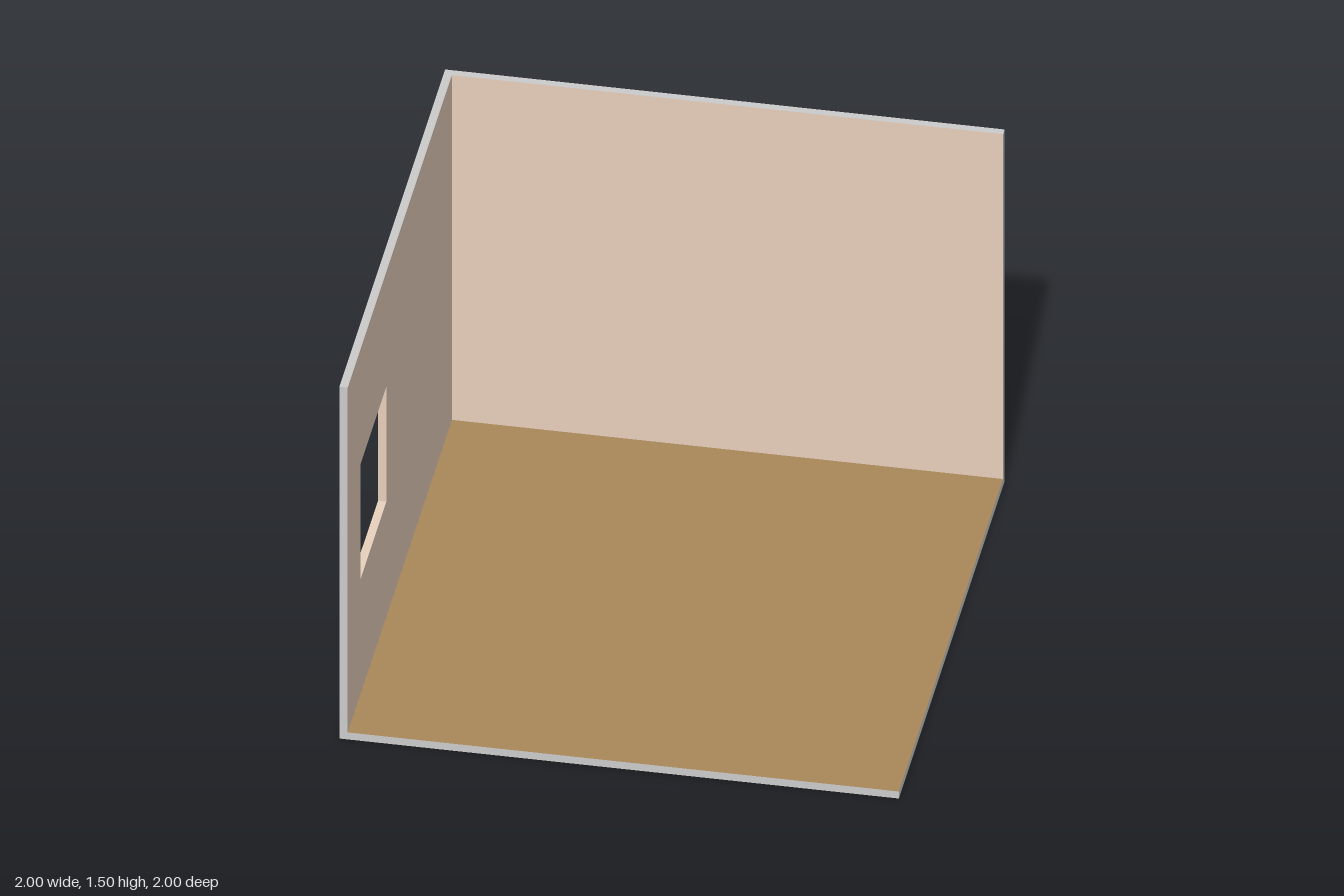
import * as THREE from 'three';

const T = 0.03;  // panel thickness
const H = 1.5;   // wall height

const grey = new THREE.MeshStandardMaterial({ color: 0xcccccc });
const wallPaint = new THREE.MeshStandardMaterial({ color: 0xe8d0bd });
const floorPaint = new THREE.MeshStandardMaterial({ color: 0xaa8859 });

// Mesh whose triangles get the paint where the rule holds and stay grey elsewhere
function paintedPanel(name, source, paint, rule) {
  const geometry = source.index ? source.toNonIndexed() : source;
  const pos = geometry.attributes.position;
  const tri = new THREE.Triangle();
  const normal = new THREE.Vector3();
  const mid = new THREE.Vector3();
  geometry.clearGroups();
  for (let i = 0; i < pos.count; i += 3) {
    tri.setFromAttributeAndIndices(pos, i, i + 1, i + 2);
    tri.getNormal(normal);
    tri.getMidpoint(mid);
    geometry.addGroup(i, 3, rule(normal, mid) ? 1 : 0);
  }
  const mesh = new THREE.Mesh(geometry, [grey, paint]);
  mesh.name = name;
  return mesh;
}

// Side wall outline in the z-y plane with a square window, turned to stand at -x
function sideWallGeometry() {
  const rect = (target, z0, z1, y0, y1) =>
    target.moveTo(z0, y0).lineTo(z1, y0).lineTo(z1, y1).lineTo(z0, y1).closePath();
  const outline = rect(new THREE.Shape(), -1 + T, 1, T, H);
  outline.holes.push(rect(new THREE.Path(), 0.27, 0.76, 0.52, 1.01));
  return new THREE.ExtrudeGeometry(outline, { depth: T, bevelEnabled: false })
    .rotateY(-Math.PI / 2)
    .translate(-1 + T, 0, 0);
}

export function createModel() {
  const room = new THREE.Group();
  room.name = 'openRoom';

  // Floor slab, coloured on top
  room.add(paintedPanel('floor',
    new THREE.BoxGeometry(2, T, 2).translate(0, T / 2, 0),
    floorPaint, (n) => n.y > 0.5));

  // Back wall, coloured on the inside
  room.add(paintedPanel('backWall',
    new THREE.BoxGeometry(2, H - T, T).translate(0, (H + T) / 2, -1 + T / 2),
    wallPaint, (n) => n.z > 0.5));

  // Window wall, coloured on the inside and around the window reveal
  room.add(paintedPanel('windowWall', sideWallGeometry(), wallPaint, (n, p) =>
    n.x > 0.5 || (Math.abs(n.x) < 0.5 && p.z > 0.2 && p.z < 0.8 && p.y > 0.5 && p.y < 1.1)));

  return room;
}
